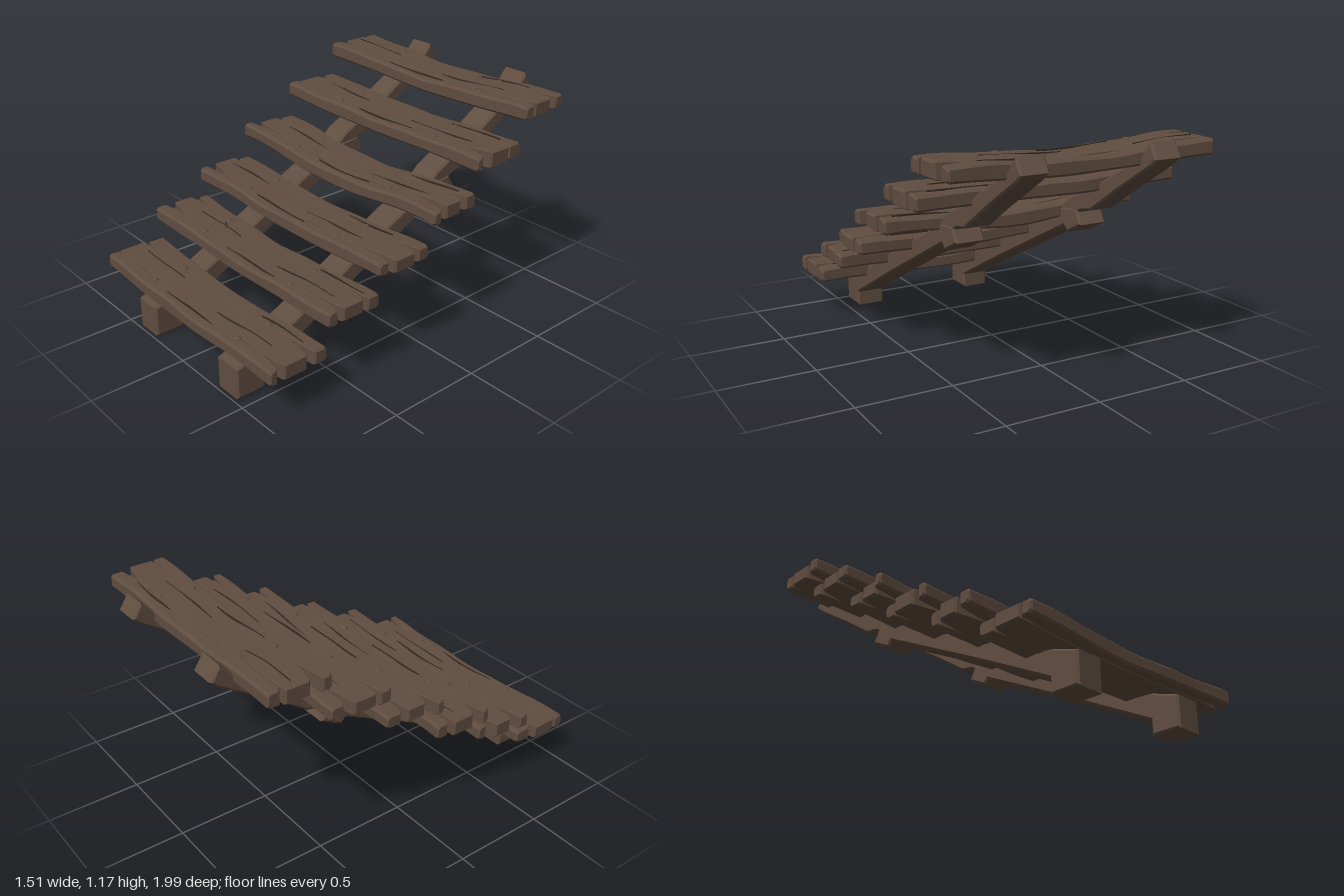
import * as THREE from 'three';
import { toCreasedNormals, mergeGeometries } from 'three/addons/utils/BufferGeometryUtils.js';

// Skin a list of rings (each a loop running top-back, top-front, bottom-front, bottom-back) along +x
function loft(rings) {
  const n = rings[0].length, pos = [];
  const tri = (a, b, c) => pos.push(...a, ...b, ...c);
  for (let i = 0; i < rings.length - 1; i++) {
    for (let j = 0; j < n; j++) {
      const k = (j + 1) % n, p = rings[i], q = rings[i + 1];
      tri(p[j], p[k], q[k]);
      tri(p[j], q[k], q[j]);
    }
  }
  const first = rings[0], last = rings[rings.length - 1];
  for (let j = 1; j < n - 1; j++) {
    tri(last[0], last[j], last[j + 1]);
    tri(first[0], first[j + 1], first[j]);
  }
  const g = new THREE.BufferGeometry();
  g.setAttribute('position', new THREE.Float32BufferAttribute(pos, 3));
  return toCreasedNormals(g, 0.5);
}

// Treads, front to back: z of the strip seams, strip ends on each side, top height, sag, notch widths per seam
const TREADS = [
  { z: [0.66, 0.76, 0.925, 0.99], l: [-0.69, -0.71, -0.71], r: [0.71, 0.71, 0.715], top: 0.305, sag: 0.025, nl: [0.012, 0.004], nr: [0.022, 0.02] },
  { z: [0.355, 0.43, 0.58, 0.66], l: [-0.70, -0.73, -0.75], r: [0.72, 0.71, 0.715], top: 0.465, sag: 0.025, nl: [0.02, 0.022], nr: [0.008, 0.018] },
  { z: [0.045, 0.13, 0.29, 0.36], l: [-0.72, -0.74, -0.75], r: [0.73, 0.735, 0.72], top: 0.612, sag: 0.025, nl: [0.01, 0.022], nr: [0.012, 0.012] },
  { z: [-0.268, -0.17, -0.03, 0.043], l: [-0.71, -0.72, -0.76], r: [0.73, 0.735, 0.755], top: 0.79, sag: 0.045, nl: [0.016, 0.018], nr: [0.018, 0.02] },
  { z: [-0.59, -0.50, -0.34, -0.267], l: [-0.72, -0.735, -0.745], r: [0.72, 0.73, 0.73], top: 0.97, sag: 0.015, nl: [0.02, 0.006], nr: [0.006, 0.025] },
  { z: [-0.90, -0.82, -0.66, -0.585], l: [-0.70, -0.71, -0.725], r: [0.72, 0.73, 0.74], top: 1.152, sag: 0.03, nl: [0.008, 0.025], nr: [0.025, 0.008] },
];
const THICK = 0.078;

const topAt = (t, x) => t.top - t.sag * Math.cos(Math.min(1, Math.abs(x) / 0.7) * Math.PI / 2) ** 2;

// One lengthwise strip of a tread, bent to its sag and narrowed at the split ends
function stripGeometry(t, s, seed) {
  const xl = t.l[s], xr = t.r[s], steps = 22, xs = [xl];
  for (let i = 0; i <= steps; i++) xs.push(xl + 0.012 + (xr - xl - 0.024) * i / steps);
  xs.push(xr);
  const edge = (i, x, dir) => {
    const bow = 0.014 * Math.cos(x * 2.1);
    if (i === 0) return t.z[0] + bow + 0.003 * Math.sin(x * 13 + seed);
    if (i === 3) return t.z[3] - bow * 0.4 + 0.003 * Math.sin(x * 11 + seed);
    const open = (x < 0 ? t.nl : t.nr)[i - 1] * Math.max(0, (Math.abs(x) - 0.58) / 0.14);
    return t.z[i] + 0.006 * Math.sin(x * 7 + seed + i) + dir * open;
  };
  const rings = xs.map((x, i) => {
    const inset = i === 0 || i === xs.length - 1 ? 0.008 : 0;
    const z0 = edge(s, x, 1) + inset, z1 = edge(s + 1, x, -1) - inset;
    const y1 = topAt(t, x) - inset + 0.003 * Math.sin(x * 15 + seed * 3 + s * 2) - (s === 1 ? 0 : 0.003);
    const y0 = topAt(t, x) - THICK + inset - (s === 1 ? 0.003 : 0) + 0.004 * Math.sin(x * 6 + seed);
    const b = s === 0 ? 0.012 : 0.003, f = s === 2 ? 0.012 : 0.003;
    return [[x, y1, z0 + b], [x, y1, z1 - f], [x, y1 - f, z1], [x, y0 + f, z1],
      [x, y0, z1 - f], [x, y0, z0 + b], [x, y0 + b, z0], [x, y1 - b, z0]];
  });
  return loft(rings);
}

// Thin tapering split lying on the top of a tread
function crackGeometry(t, x0, x1, z, seed) {
  const rings = [];
  for (let i = 0; i <= 8; i++) {
    const u = i / 8, x = x0 + (x1 - x0) * u, w = 0.0005 + 0.003 * Math.sin(Math.PI * u);
    const y = topAt(t, x) + 0.0035, zc = z + 0.005 * Math.sin(u * 5 + seed);
    rings.push([[x, y, zc - w], [x, y, zc + w], [x, y - 0.008, zc + w], [x, y - 0.008, zc - w]]);
  }
  return loft(rings);
}

// Side profile [z, y] given thickness along x
function beamGeometry(points, width) {
  const bevel = 0.01;
  const shape = new THREE.Shape(points.map(([z, y]) => new THREE.Vector2(z, y)));
  const g = new THREE.ExtrudeGeometry(shape, {
    depth: width - 2 * bevel, bevelEnabled: true, bevelSize: bevel, bevelThickness: bevel, bevelOffset: -bevel, bevelSegments: 1,
  });
  g.translate(0, 0, bevel - width / 2);
  return g.rotateY(-Math.PI / 2);
}

const LOWER = [[0.98, 0], [0.98, 0.165], [0.72, 0.25], [0.05, 0.585], [-0.27, 0.74], [-0.385, 0.75],
  [-0.43, 0.675], [-0.31, 0.613], [-0.28, 0.642], [0.36, 0.32], [0.82, 0.08], [0.82, 0]];
const UPPER = [[-0.2, 0.7], [-0.3, 0.79], [-0.58, 0.925], [-0.88, 1.1], [-0.95, 1.175], [-1, 1.1],
  [-0.96, 1.065], [-0.7, 0.9], [-0.5, 0.765], [-0.42, 0.75], [-0.3, 0.68]];

export function createModel() {
  const group = new THREE.Group();
  group.name = 'woodenStairs';
  const wood = new THREE.MeshStandardMaterial({ color: 0x604d40 });
  wood.name = 'weathered wood';
  const dark = new THREE.MeshStandardMaterial({ color: 0x34291f });
  dark.name = 'dark split';
  const add = (parent, name, geometry, material = wood) => {
    const m = new THREE.Mesh(geometry, material);
    m.name = name;
    parent.add(m);
    return m;
  };

  // Two stringers, each a footed lower beam with a spliced upper beam
  for (const [side, x] of [['right', -0.345], ['left', 0.36]]) {
    const stringer = new THREE.Group();
    stringer.name = side + 'Stringer';
    stringer.position.x = x;
    add(stringer, 'lowerBeam', beamGeometry(LOWER, 0.158));
    add(stringer, 'upperBeam', beamGeometry(UPPER, 0.148));
    group.add(stringer);
  }

  // Split planks with nails over both stringers
  const nail = new THREE.SphereGeometry(0.018, 10, 4, 0, Math.PI * 2, 0, Math.PI / 2).scale(1, 0.5, 1);
  TREADS.forEach((t, k) => {
    const tread = new THREE.Group();
    tread.name = 'tread' + (k + 1);
    add(tread, 'plank', mergeGeometries([0, 1, 2].map((s) => stripGeometry(t, s, k * 1.7))));
    const depth = t.z[3] - t.z[0];
    for (const x of [-0.35, 0.37]) {
      for (const f of [0.27, 0.82]) {
        const nx = x + 0.02 * Math.sin(k * 2 + f * 9);
        add(tread, 'nailHead', nail).position.set(nx, topAt(t, nx) - 0.001, t.z[0] + depth * f);
      }
    }
    const shift = 0.08 * Math.sin(k * 2.3);
    [[-0.6, -0.25, 0.45], [0.12, 0.55, 0.6], [-0.2, 0.2, 0.85], [0.3, 0.62, 0.2]].forEach(([a, b, f], i) => {
      add(tread, 'split', crackGeometry(t, a + shift, b + shift, t.z[0] + depth * f, k + i), dark);
    });
    group.add(tread);
  });

  // Bent nail standing out of the second tread
  const bent = new THREE.CatmullRomCurve3([
    new THREE.Vector3(-0.31, 0.45, 0.5), new THREE.Vector3(-0.31, 0.475, 0.5), new THREE.Vector3(-0.3, 0.485, 0.515)]);
  add(group, 'bentNail', new THREE.TubeGeometry(bent, 6, 0.008, 6));
  return group;
}
